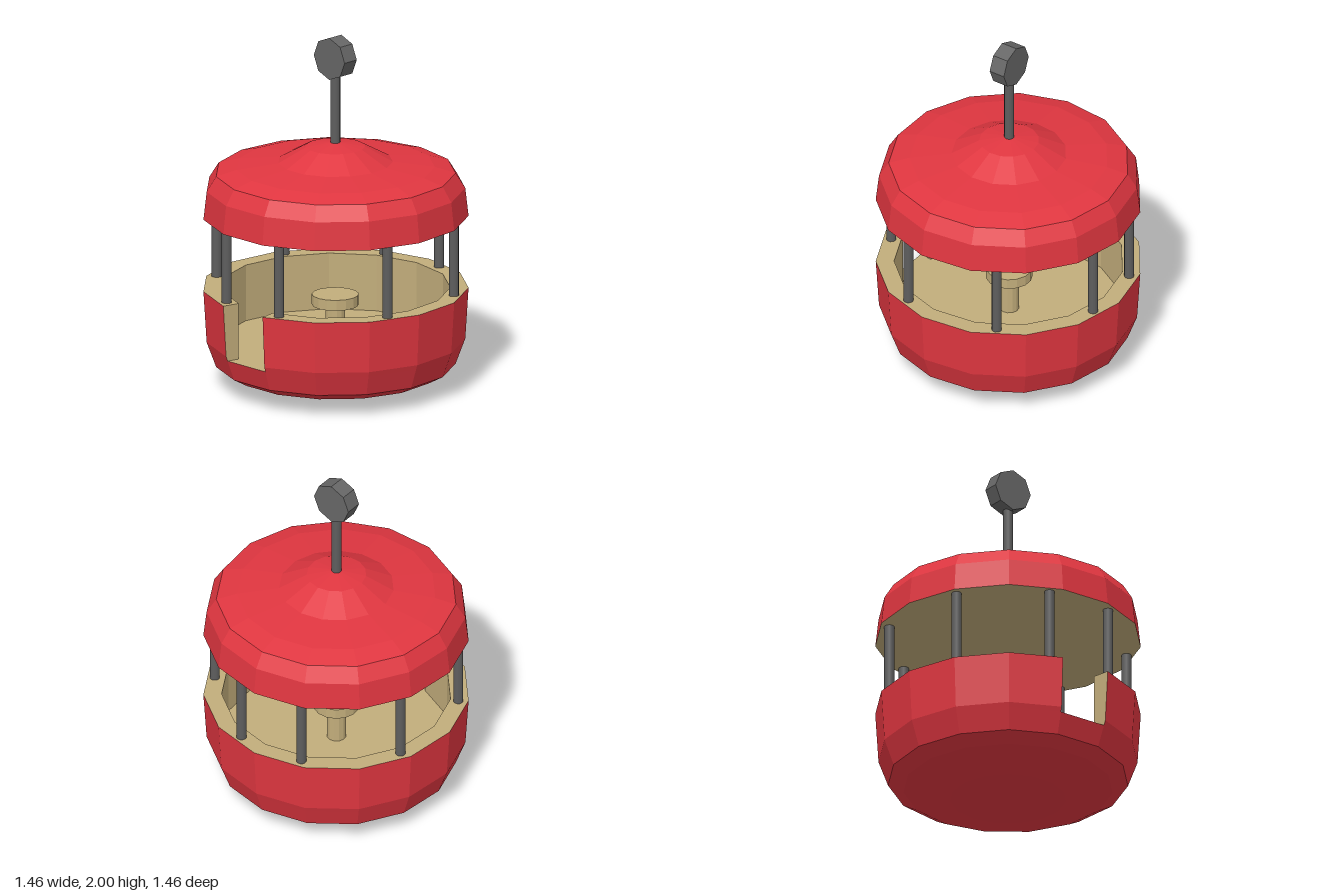
import * as THREE from 'three';

const SIDES = 15, STEP = (Math.PI * 2) / SIDES;
const DOOR = -STEP; // direction of the doorway, from +z towards +x
const material = (color, flatShading = true) =>
  new THREE.MeshStandardMaterial({ color, flatShading, side: THREE.DoubleSide });

export function createModel() {
  const group = new THREE.Group();
  const red = material(0xe03640), tan = material(0xc2ad7b);
  const steel = material(0x5e5e5e, false), darkSteel = material(0x666666);

  const add = (name, geometry, mat, x = 0, y = 0, z = 0) => {
    const mesh = new THREE.Mesh(geometry, mat);
    mesh.name = name;
    mesh.position.set(x, y, z);
    group.add(mesh);
    return mesh;
  };
  const points = (list) => list.map(([r, y]) => new THREE.Vector2(r, y));
  // A full turn, or the turn that leaves one side open for the doorway
  const lathe = (list, open = false) => new THREE.LatheGeometry(points(list),
    open ? SIDES - 1 : SIDES, DOOR + STEP / 2, Math.PI * 2 - (open ? STEP : 0));

  // Tub: rounded bottom, floor, and a thick wall with a doorway
  const sill = 0.247, rim = 0.567, inner = 0.635;
  const outside = [[0.708, sill], [0.718, 0.274], [0.736, rim]];
  add('tubBottom', lathe([[0, 0], [0.32, 0.018], [0.58, 0.083], [0.665, 0.13], [0.708, sill]]), red);
  add('floor', lathe([[0.708, sill], [0, sill]]), tan);
  add('tubWall', lathe(outside, true), red);
  add('tubLining', lathe([[0.736, rim], [inner, rim], [inner, sill]], true), tan);
  for (const side of [-1, 1]) {
    const jamb = new THREE.ShapeGeometry(
      new THREE.Shape(points([[inner, sill], ...outside, [inner, rim]])));
    jamb.rotateY(DOOR + side * STEP / 2 - Math.PI / 2);
    add('doorJamb', jamb, tan);
  }

  // Round table
  add('tableStem', new THREE.CylinderGeometry(0.055, 0.055, 0.22, 12), tan, 0, 0.357, 0);
  add('tableTop', new THREE.CylinderGeometry(0.13, 0.13, 0.06, 15), tan, 0, 0.49, 0);

  // Posts between tub and roof, spaced around the doorway
  for (const degrees of [-6.2, 46, 95, 143.7, 177.5, 225.3, 275, 319.3]) {
    const a = THREE.MathUtils.degToRad(degrees);
    add('post', new THREE.CylinderGeometry(0.028, 0.028, 0.42, 12), steel,
      0.68 * Math.sin(a), 0.773, 0.68 * Math.cos(a));
  }

  // Roof with a raised cap, and its flat ceiling
  add('roof', lathe([[0.736, 0.98], [0.718, 1.14], [0.665, 1.225], [0.55, 1.258],
    [0.318, 1.285], [0.165, 1.37], [0, 1.397]]), red);
  add('ceiling', lathe([[0, 0.98], [0.736, 0.98]]), tan);

  // Hanger rod and eight-sided hub, facing the doorway direction
  add('hangerRod', new THREE.CylinderGeometry(0.028, 0.028, 0.44, 12), steel, 0, 1.59, 0);
  const hub = new THREE.CylinderGeometry(0.12, 0.12, 0.095, 8);
  hub.rotateX(Math.PI / 2).rotateY(DOOR);
  add('hangerHub', hub, darkSteel, 0, 1.88, 0);

  for (const part of group.children) part.position.z += 0.006;
  return group;
}
